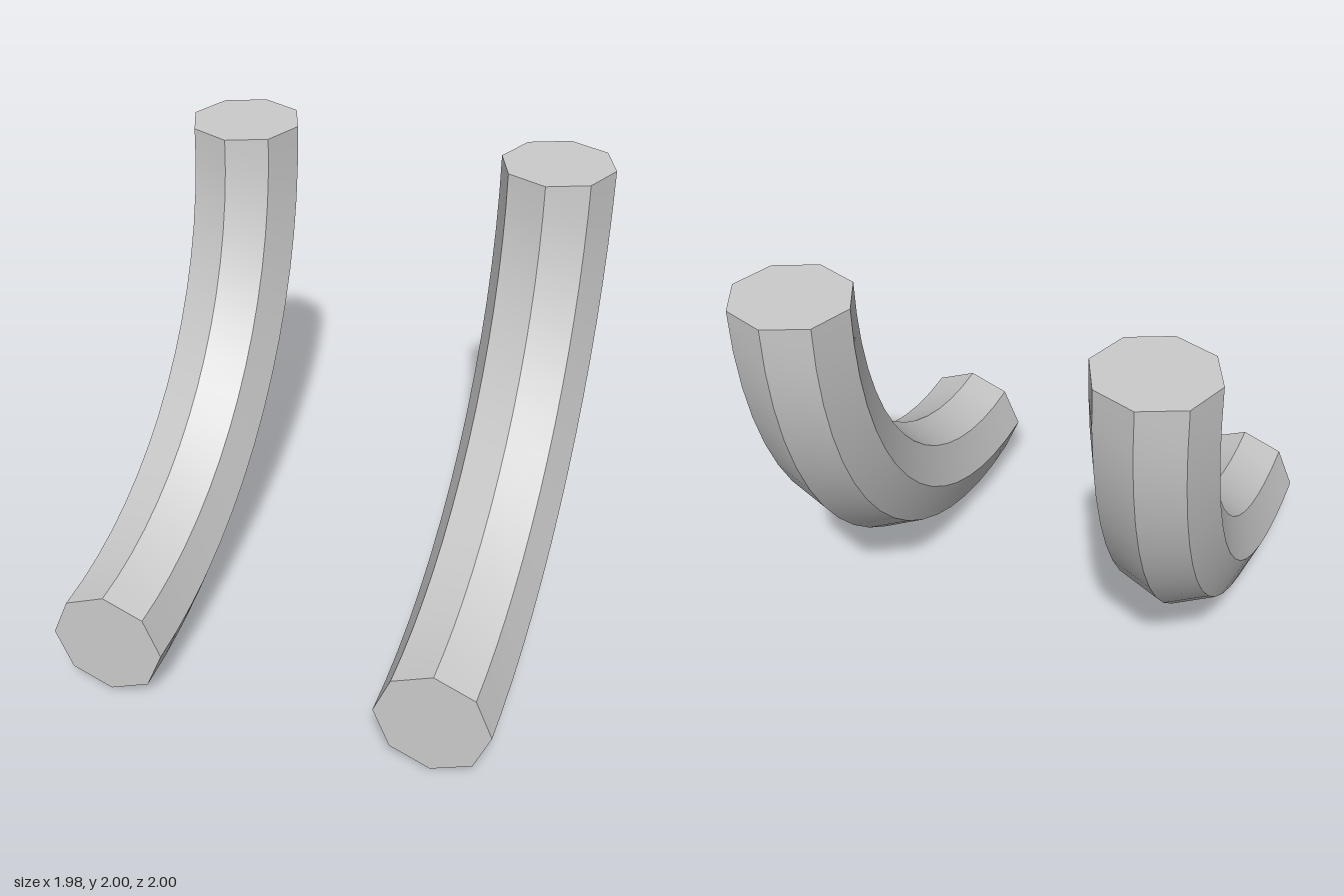
import * as THREE from 'three';
import { toCreasedNormals } from 'three/addons/utils/BufferGeometryUtils.js';

const BEND = 1.743;   // radius of the bend's centre line
const TUBE = 0.255;   // radius of the octagonal section
const SIDES = 8;
const STEPS = 16;

export function createModel() {
  const model = new THREE.Group();
  const material = new THREE.MeshStandardMaterial({ color: 0xcccccc });

  // Quarter bend: from the bottom front up to the top back, smooth along its length only
  let bend = new THREE.TorusGeometry(BEND, TUBE, SIDES, STEPS, Math.PI / 2);
  bend.rotateZ(Math.PI).rotateY(-Math.PI / 2);
  bend = toCreasedNormals(bend, 0.4);

  // Flat octagonal ends
  const frontCap = new THREE.CircleGeometry(TUBE, SIDES).translate(0, -BEND, 0);
  const topCap = new THREE.CircleGeometry(TUBE, SIDES).rotateX(-Math.PI / 2).translate(0, 0, -BEND);

  const parts = { bend, frontCap, topCap };
  for (const [side, x] of [['left', 0.735], ['right', -0.735]]) {
    const tube = new THREE.Group();
    tube.name = side + 'CurvedTube';
    for (const [name, geometry] of Object.entries(parts)) {
      const mesh = new THREE.Mesh(geometry, material);
      mesh.name = name;
      tube.add(mesh);
    }
    tube.position.set(x, 2, 1);
    model.add(tube);
  }
  return model;
}
